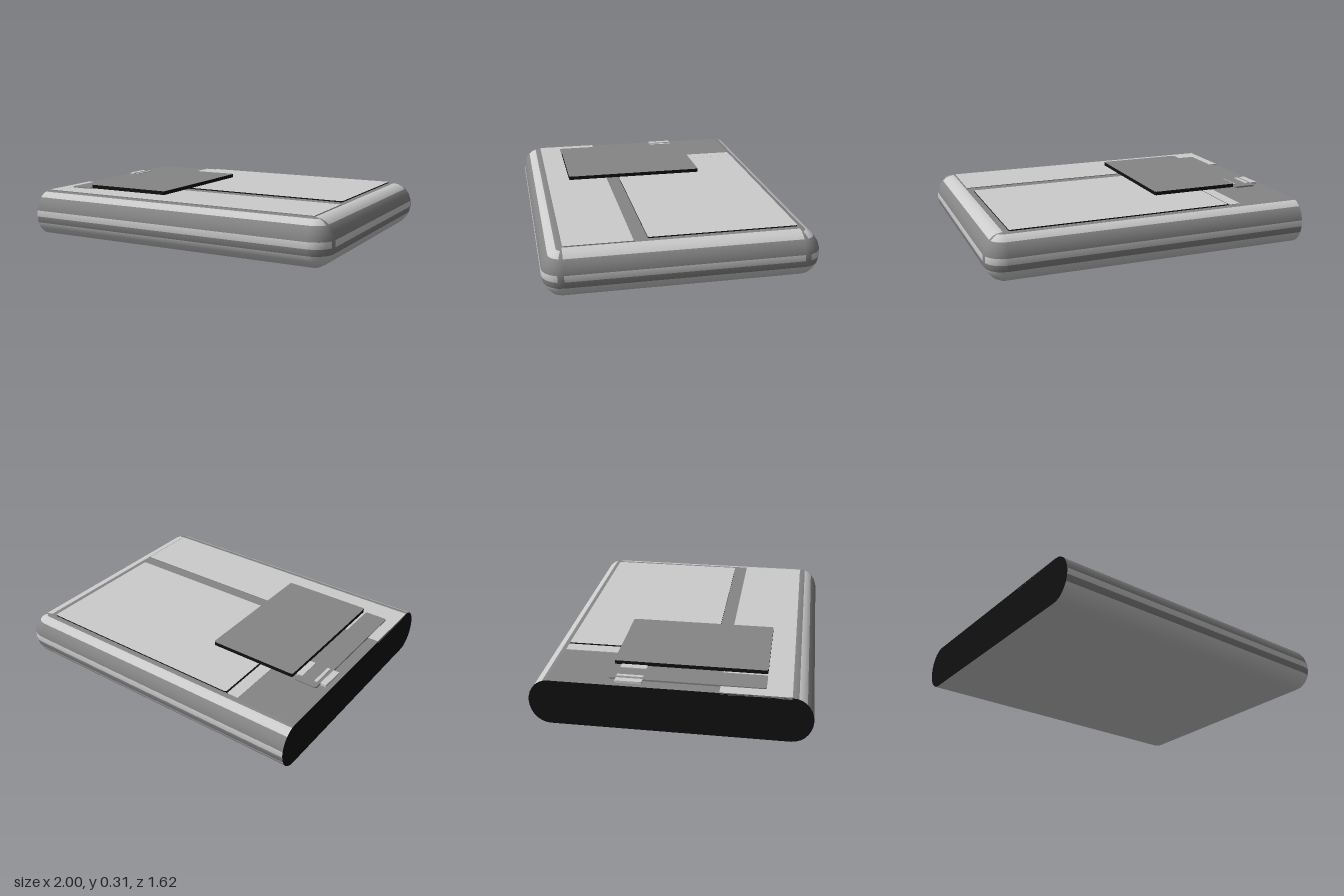
import * as THREE from 'three';

const LIGHT = new THREE.MeshStandardMaterial({ color: 0xcccccc });
const DARK = new THREE.MeshStandardMaterial({ color: 0x858585 });
const BLACK = new THREE.MeshStandardMaterial({ color: 0x111111 });

const H = 0.28;      // body height
const R = 0.12;      // horizontal radius of the rounded rim
const X0 = -1;       // flat cut end
const X1 = 0.88;     // end of the flat top
const Z1 = 0.69;     // half depth of the flat top

function add(group, name, geometry, material) {
  const mesh = new THREE.Mesh(geometry, material);
  mesh.name = name;
  group.add(mesh);
  return mesh;
}

// Flat plate with rounded corners, given by its bounds
function plate(group, name, [xa, xb], [za, zb], [ya, yb], r, faceMat, sideMat) {
  const s = new THREE.Shape();
  s.moveTo(xa + r, -zb);
  s.lineTo(xb - r, -zb);
  s.quadraticCurveTo(xb, -zb, xb, -zb + r);
  s.lineTo(xb, -za - r);
  s.quadraticCurveTo(xb, -za, xb - r, -za);
  s.lineTo(xa + r, -za);
  s.quadraticCurveTo(xa, -za, xa, -za - r);
  s.lineTo(xa, -zb + r);
  s.quadraticCurveTo(xa, -zb, xa + r, -zb);
  const g = new THREE.ExtrudeGeometry(s, { depth: yb - ya, bevelEnabled: false, curveSegments: 4 });
  g.rotateX(-Math.PI / 2).translate(0, ya, 0);
  add(group, name, g, [faceMat, sideMat]);
}

// Rounded rim swept along the back, the right end and the front, in two tones
function rim(group) {
  const arc = 5;
  const path = [{ x: X0, z: -Z1, t: -Math.PI / 2 }];
  for (const side of [-1, 1]) {
    for (let k = 0; k <= arc; k++) {
      const t = (side < 0 ? -Math.PI / 2 : 0) + (k / arc) * Math.PI / 2;
      path.push({ x: X1, z: side * Z1, t });
    }
  }
  path.push({ x: X0, z: Z1, t: Math.PI / 2 });

  // Angles from the top at which the tone changes
  const stops = [0, 15, 41, 80, 96, 113, 180];
  const steps = [1, 2, 2, 1, 1, 4];
  const rows = [{ a: 0, band: 0 }];
  steps.forEach((n, band) => {
    for (let k = 1; k <= n; k++) {
      rows.push({ a: THREE.MathUtils.degToRad(stops[band] + (stops[band + 1] - stops[band]) * k / n), band });
    }
  });

  const position = [], normal = [], lightIndex = [], darkIndex = [];
  const n = new THREE.Vector3();
  for (const p of path) {
    for (const { a } of rows) {
      const d = R * Math.sin(a);
      position.push(p.x + d * Math.cos(p.t), H / 2 * (1 + Math.cos(a)), p.z + d * Math.sin(p.t));
      n.set(Math.sin(a) * Math.cos(p.t) / R, Math.cos(a) / (H / 2), Math.sin(a) * Math.sin(p.t) / R).normalize();
      normal.push(n.x, n.y, n.z);
    }
  }
  const w = rows.length;
  for (let i = 0; i < path.length - 1; i++) {
    const seam = i === arc || i === arc + 2;      // dark joint beside the end
    const end = i === arc + 1;
    for (let j = 0; j < w - 1; j++) {
      const band = rows[j + 1].band;
      const light = band === 5 || (!seam && band % 2 === 1) || (end && band === 0);
      const a = i * w + j, b = a + w;
      (light ? lightIndex : darkIndex).push(a, b, a + 1, b, b + 1, a + 1);
    }
  }
  for (const [name, index, mat] of [['rimLightBands', lightIndex, LIGHT], ['rimDarkBands', darkIndex, DARK]]) {
    const g = new THREE.BufferGeometry();
    g.setAttribute('position', new THREE.Float32BufferAttribute(position, 3));
    g.setAttribute('normal', new THREE.Float32BufferAttribute(normal, 3));
    g.setIndex(index);
    add(group, name, g, mat);
  }
}

// Closing face of the cut end
function cutFace(group) {
  const pts = [];
  for (const side of [1, -1]) {
    for (let k = 0; k <= 14; k++) {
      const a = (side > 0 ? Math.PI - k / 14 * Math.PI : k / 14 * Math.PI);
      pts.push(new THREE.Vector2(side * (Z1 + R * Math.sin(a)), H / 2 * (1 + Math.cos(a))));
    }
  }
  const g = new THREE.ShapeGeometry(new THREE.Shape(pts));
  g.rotateY(-Math.PI / 2).translate(X0, 0, 0);
  add(group, 'cutFace', g, BLACK);
}

export function createModel() {
  const model = new THREE.Group();
  model.name = 'slabDevice';

  // Body
  const body = new THREE.Group();
  body.name = 'body';
  model.add(body);
  rim(body);
  cutFace(body);
  for (const [name, y, turn, mat] of [['deck', H, -1, DARK], ['underside', 0, 1, LIGHT]]) {
    const g = new THREE.PlaneGeometry(X1 - X0, 2 * Z1);
    g.rotateX(turn * Math.PI / 2).translate((X0 + X1) / 2, y, 0);
    add(body, name, g, mat);
  }

  // Panels lying on the deck
  plate(model, 'mainPanel', [-0.535, 0.845], [-0.69, 0.2], [H - 0.01, 0.287], 0.015, LIGHT, BLACK);
  plate(model, 'panelGap', [-0.545, -0.535], [-0.69, 0.2], [H - 0.01, 0.283], 0.001, BLACK, BLACK);
  plate(model, 'sideStrip', [-0.62, -0.545], [-0.69, 0.2], [H - 0.01, 0.284], 0.001, LIGHT, LIGHT);
  plate(model, 'frontPanel', [X0, 0.872], [0.285, 0.685], [H - 0.01, 0.284], 0.002, LIGHT, DARK);

  // Raised card and the narrow bar beside it
  plate(model, 'card', [-0.77, -0.2], [-0.355, 0.54], [0.29, 0.313], 0.015, DARK, BLACK);
  plate(model, 'bar', [-0.93, -0.785], [-0.355, 0.54], [H - 0.01, 0.29], 0.015, DARK, DARK);

  // Small clips holding the bar
  for (const [xa, xb] of [[-0.97, -0.932], [-0.912, -0.892], [-0.812, -0.772]]) {
    plate(model, 'clip', [xa, xb], [-0.31, -0.155], [H - 0.01, 0.295], 0.003, LIGHT, LIGHT);
  }
  return model;
}
